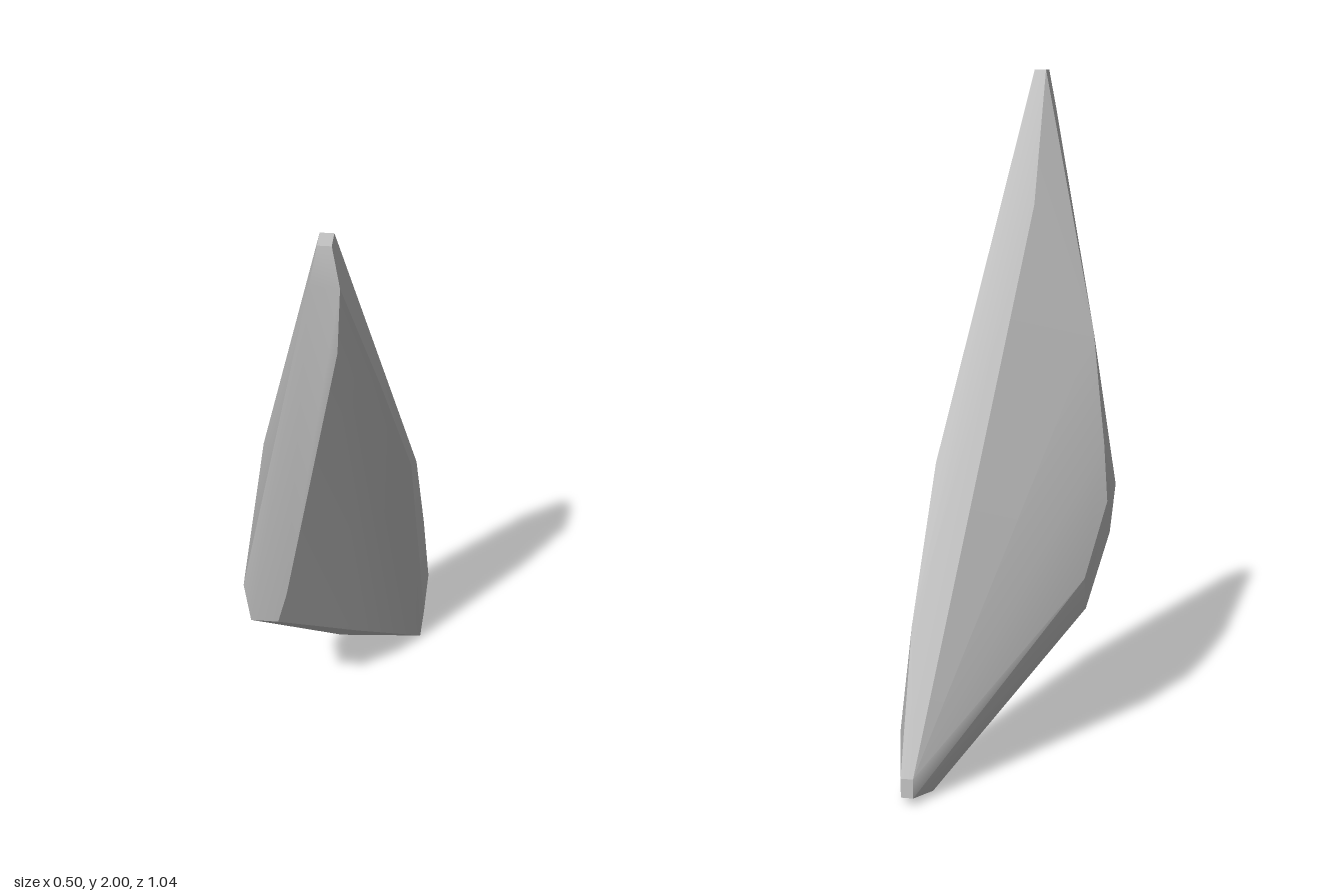
import * as THREE from 'three';
import { ConvexGeometry } from 'three/addons/geometries/ConvexGeometry.js';
import { toCreasedNormals } from 'three/addons/utils/BufferGeometryUtils.js';

// Outline loops of the faceted shard; its surface is their convex skin
const tipCap = [[-0.01, 2, 0.51], [0.025, 2, 0.51], [0.025, 2, 0.45], [-0.01, 2, 0.45]];
const frontBand = [
  [-0.03, 1.89, 0.518], [-0.255, 0.74, 0.315], [-0.24, 0.59, 0.3],
  [0.045, 1.89, 0.518], [0.035, 1.68, 0.482], [-0.13, 0.72, 0.322], [-0.16, 0.59, 0.3],
];
const rightRim = [[-0.19, 1.22, 0.265], [-0.235, 0.89, 0.19], [-0.25, 0.72, 0.16], [-0.2, 0.51, 0.04]];
const leftRidge = [[0.128, 1.46, 0.295], [0.205, 1.03, 0.08], [0.245, 0.14, -0.27], [0.25, 0.17, -0.42]];
const backEdge = [[-0.01, 1.6, 0.247], [0.21, 0.88, -0.13], [0.23, 0.46, -0.355]];
const underside = [
  [-0.2, 0.41, 0.07], [-0.01, 0.2, -0.07], [0.05, 0.3, 0.01],
  [0.155, 0.015, -0.285], [0.235, 0.015, -0.285],
];
const foot = [
  [0.16, 0, -0.41], [0.235, 0, -0.41],
  [0.19, 0.02, -0.52], [0.225, 0.02, -0.52], [0.19, 0.075, -0.52], [0.225, 0.075, -0.52],
];

export function createModel() {
  const group = new THREE.Group();
  group.name = 'stoneShard';

  const stone = new THREE.MeshStandardMaterial({ color: 0xc4c4c4 });
  stone.name = 'pale stone grey';

  const points = [tipCap, frontBand, rightRim, leftRidge, backEdge, underside, foot]
    .flat()
    .map((p) => new THREE.Vector3(...p));

  // Soften only the shallow facets, keeping the rims sharp
  const skin = toCreasedNormals(new ConvexGeometry(points), THREE.MathUtils.degToRad(20));
  const shard = new THREE.Mesh(skin, stone);
  shard.name = 'shard';
  group.add(shard);
  return group;
}
